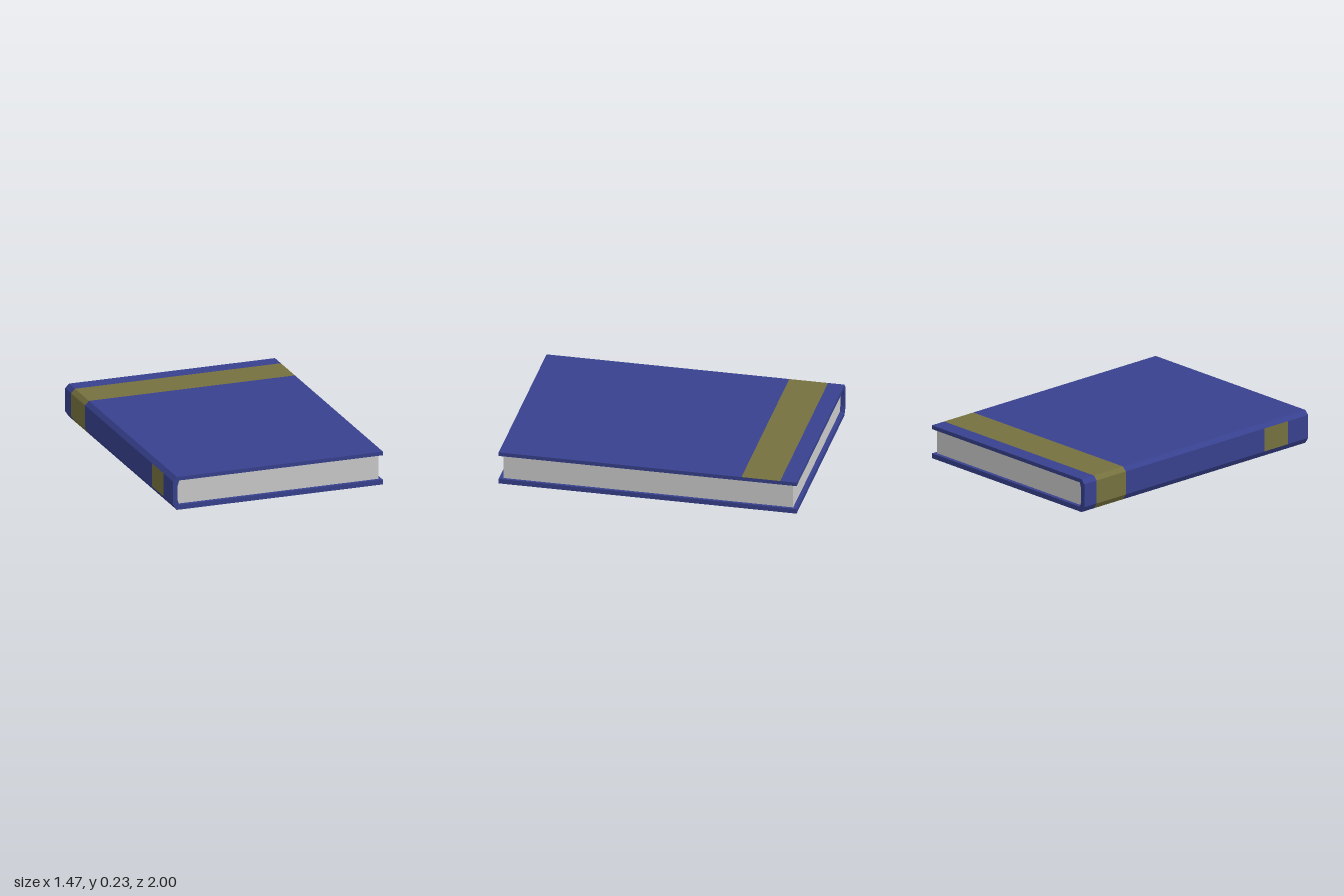
import * as THREE from 'three';

const paint = (color) => new THREE.MeshStandardMaterial({ color, side: THREE.DoubleSide });
const toShape = (pts) => new THREE.Shape(pts.map(([x, y]) => new THREE.Vector2(x, y)));

// Sweeps an open profile straight along z, one flat quad per profile edge.
function strip(name, pts, z0, z1, material) {
  const pos = [];
  for (let i = 0; i < pts.length - 1; i++) {
    const [ax, ay] = pts[i], [bx, by] = pts[i + 1];
    pos.push(ax, ay, z0, ax, ay, z1, bx, by, z1, ax, ay, z0, bx, by, z1, bx, by, z0);
  }
  const geometry = new THREE.BufferGeometry();
  geometry.setAttribute('position', new THREE.Float32BufferAttribute(pos, 3));
  geometry.computeVertexNormals();
  const mesh = new THREE.Mesh(geometry, material);
  mesh.name = name;
  return mesh;
}

export function createModel() {
  const book = new THREE.Group();
  book.name = 'book';
  const blue = paint(0x37418e);
  const gold = paint(0x76713e);
  const paper = new THREE.MeshStandardMaterial({ color: 0xcccccc });

  // Cover profile: outside from bottom fore edge round the spine to the top, then back inside
  const outer = [[0.735, 0], [-0.708, 0], [-0.735, 0.04], [-0.735, 0.2], [-0.708, 0.228], [0.735, 0.228]];
  const hollow = [[-0.692, 0.202], [-0.705, 0.157], [-0.705, 0.072], [-0.692, 0.033]];
  const inner = [outer[5], [0.735, 0.202], ...hollow, [0.735, 0.033], outer[0]];

  // Outside of the cover, with a gold band near the back end
  const cover = new THREE.Group();
  cover.name = 'cover';
  cover.add(
    strip('coverBackEnd', outer, -1, -0.89, blue),
    strip('goldBand', outer, -0.89, -0.63, gold),
    strip('coverMiddle', outer, -0.63, 0.61, blue),
    strip('coverInside', inner, -1, 1, blue),
  );

  // Front end of the cover, with a gold label on the flat of the spine only
  cover.add(
    strip('bottomBoard', outer.slice(0, 3), 0.61, 1, blue),
    strip('topBoard', outer.slice(3), 0.61, 1, blue),
    strip('spineLabel', outer.slice(2, 4), 0.61, 0.82, gold),
    strip('spineFrontEnd', outer.slice(2, 4), 0.82, 1, blue),
  );

  // Cut edges of the cover at both ends
  const edgeShape = toShape([...outer, ...inner.slice(1, -1)]);
  for (const z of [-1, 1]) {
    const edge = new THREE.Mesh(new THREE.ShapeGeometry(edgeShape), blue);
    edge.name = z > 0 ? 'frontCoverEdge' : 'backCoverEdge';
    if (z < 0) edge.geometry.scale(1, 1, -1);
    edge.position.z = z;
    cover.add(edge);
  }
  book.add(cover);

  // Page block, rounded against the spine and set in from the cover edges
  const pages = new THREE.Mesh(
    new THREE.ExtrudeGeometry(toShape([[0.715, 0.202], ...hollow, [0.715, 0.033]]), { depth: 1.946, bevelEnabled: false }),
    paper,
  );
  pages.name = 'pages';
  pages.position.z = -0.973;
  book.add(pages);
  return book;
}
